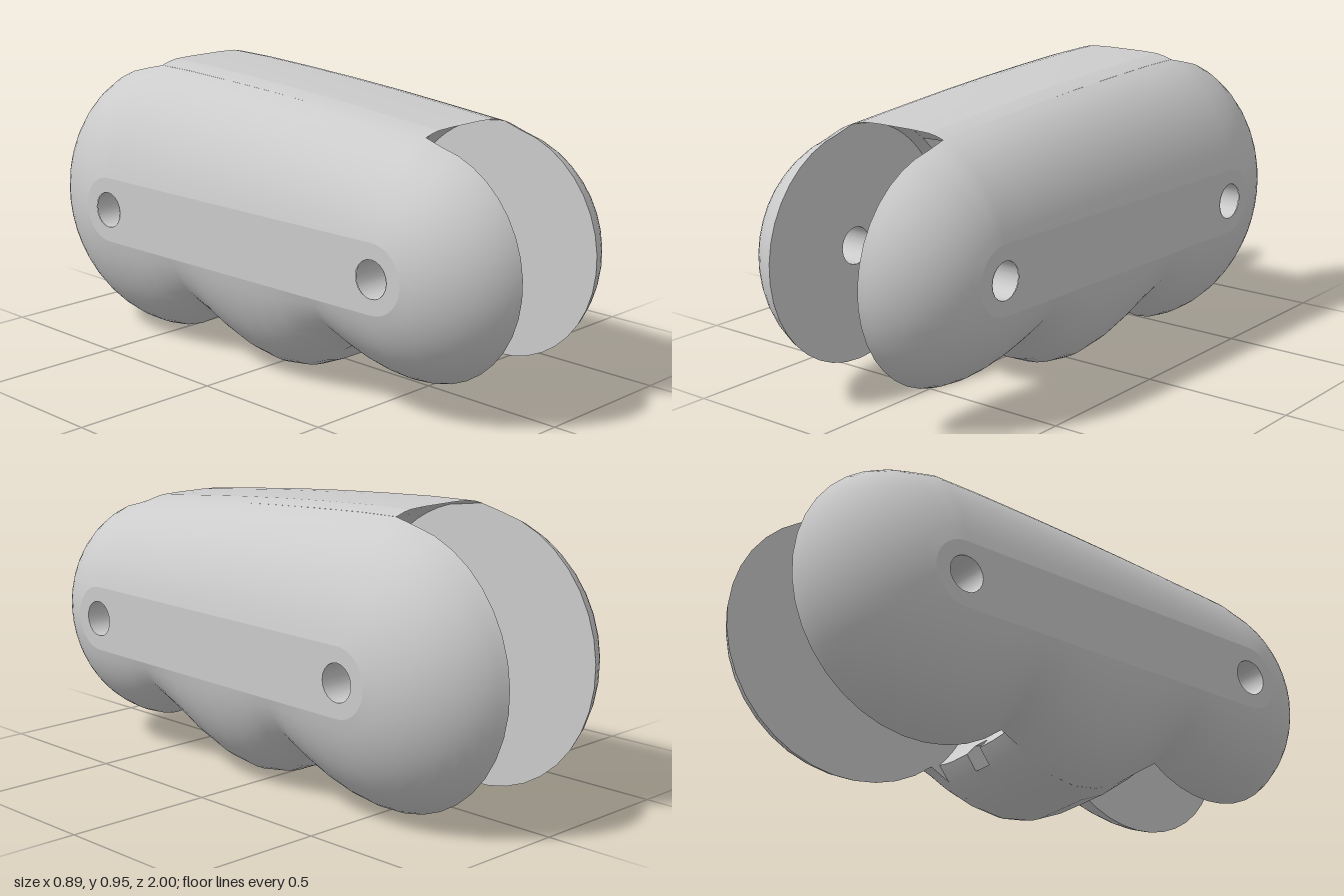
import * as THREE from 'three';
import { toCreasedNormals } from 'three/addons/utils/BufferGeometryUtils.js';

const material = new THREE.MeshStandardMaterial({ color: 0xcccccc });
const openMaterial = new THREE.MeshStandardMaterial({ color: 0xcccccc, side: THREE.DoubleSide });

// Profiles are drawn in the (z, y) plane. The two hinge pins share one height.
const PIN_Y = 0.47, FRONT = 0.63, BACK = -0.55, PIN_R = 0.06;
const CLEAR_F = 0.4, CLEAR_B = 0.48;
const INNER = 0.195;
const taper = z => 0.97 - 0.058 * z;
const crown = x => Math.sqrt(1 - (Math.max(0, Math.abs(x) - 0.1) / 0.355) ** 2);
const pt = (z, y) => new THREE.Vector2(z, y);
const pts = list => list.map(([z, y]) => pt(z, y));

function arc(cz, r, a0, a1, n) {
  return Array.from({ length: n + 1 }, (_, i) => {
    const a = THREE.MathUtils.degToRad(a0 + (a1 - a0) * i / n);
    return pt(cz + r * Math.cos(a), PIN_Y + r * Math.sin(a));
  });
}
const angleAt = (y, r) => THREE.MathUtils.radToDeg(Math.asin((y - PIN_Y) / r));
const frontWall = (y0, y1, n = 6) =>
  arc(FRONT, CLEAR_F, 180 - angleAt(y0, CLEAR_F), 180 - angleAt(y1, CLEAR_F), n);
const backWall = (y0, y1, n = 6) =>
  arc(BACK, CLEAR_B, angleAt(y0, CLEAR_B), angleAt(y1, CLEAR_B), n);

const topLine = pts([[0.63, 0.87], [0.4, 0.892], [0.2, 0.91], [0, 0.925], [-0.2, 0.937], [-0.4, 0.947], [-0.55, 0.95]]);
const lobe = pts([[-0.17, 0.085], [-0.12, 0.05], [-0.04, 0.015], [0.05, 0], [0.14, 0.013], [0.23, 0.052], [0.31, 0.11]]);
const outline = [
  ...arc(FRONT, 0.385, 232, 440, 22), ...topLine,
  ...arc(BACK, 0.468, 100, 312, 22), ...lobe,
];

function flip(geo) {
  const a = geo.index.array;
  for (let i = 0; i < a.length; i += 3) [a[i], a[i + 1]] = [a[i + 1], a[i]];
  geo.computeVertexNormals();
  return geo;
}

function mesh(name, geo, mat = material) {
  const m = new THREE.Mesh(geo, mat);
  m.name = name;
  return m;
}

// Slab of the middle body between x0 and x1, crowned and tapered like the sides
function slab(name, points, x0, x1, steps) {
  const geo = new THREE.ExtrudeGeometry(new THREE.Shape(points), { depth: x1 - x0, steps, bevelEnabled: false });
  const p = geo.attributes.position;
  for (let i = 0; i < p.count; i++) {
    const z = p.getX(i), y = p.getY(i), x = -(p.getZ(i) - x1);
    p.setXYZ(i, x * taper(z), PIN_Y + (y - PIN_Y) * crown(x), z);
  }
  return mesh(name, toCreasedNormals(geo, 0.6));
}

// Flat plate in the (z, y) plane with both pin holes, facing -x
function plate(points, x) {
  const shape = new THREE.Shape(points);
  for (const c of [FRONT, BACK]) shape.holes.push(new THREE.Path().absarc(c, PIN_Y, PIN_R, 0, Math.PI * 2, true));
  const geo = new THREE.ShapeGeometry(shape, 10);
  const p = geo.attributes.position;
  for (let i = 0; i < p.count; i++) {
    const z = p.getX(i);
    p.setXYZ(i, x * taper(z), p.getY(i), z);
  }
  geo.computeVertexNormals();
  return geo;
}

// One rounded cheek with a domed outer skin and two pin holes
function cheek(side) {
  const group = new THREE.Group();
  group.name = side > 0 ? 'leftCheek' : 'rightCheek';
  const n = outline.length, RINGS = 12, K_END = 0.25, CORE = 0.11;
  const a0 = Math.asin((INNER - 0.1) / 0.355), a1 = Math.acos(K_END);
  const rings = [], pos = [], idx = [];
  let lastX = 0;
  for (let i = 0; i <= RINGS; i++) {
    const a = a0 + (a1 - a0) * i / RINGS;
    const t = (Math.cos(a) - K_END) / (1 - K_END);
    lastX = 0.1 + 0.355 * Math.sin(a);
    const ring = outline.map(p => {
      const c = pt(THREE.MathUtils.clamp(p.x, BACK, FRONT), PIN_Y);
      const core = p.clone().sub(c).setLength(CORE).add(c);
      return core.lerp(p, t);
    });
    rings.push(ring);
    for (const p of ring) pos.push(lastX * taper(p.x), p.y, p.x);
  }
  for (let i = 0; i < RINGS; i++) {
    for (let j = 0; j < n; j++) {
      const a = i * n + j, b = i * n + (j + 1) % n;
      idx.push(a, a + n, b, b, a + n, b + n);
    }
  }
  const skin = new THREE.BufferGeometry();
  skin.setAttribute('position', new THREE.Float32BufferAttribute(pos, 3));
  skin.setIndex(idx);
  skin.computeVertexNormals();

  const parts = {
    outerSkin: skin,
    outerFace: flip(plate(rings[RINGS], lastX)),
    innerFace: plate(rings[0], INNER),
  };
  for (const [name, geo] of Object.entries(parts)) {
    if (side < 0) flip(geo.scale(-1, 1, 1));
    group.add(mesh(name, geo));
  }
  // Pin hole walls
  for (const z of [FRONT, BACK]) {
    const length = (lastX - INNER) * taper(z);
    const hole = new THREE.CylinderGeometry(PIN_R, PIN_R, length, 20, 1, true).rotateZ(Math.PI / 2);
    hole.translate(side * (lastX + INNER) / 2 * taper(z), PIN_Y, z);
    group.add(mesh('pinHole', hole, openMaterial));
  }
  return group;
}

export function createModel() {
  const model = new THREE.Group();
  model.name = 'hingedLink';
  model.add(cheek(1), cheek(-1));

  // Top bridge, with a flat arched channel through its middle
  const SLOT = 0.135, CEILING = 0.6;
  const topProfile = [...topLine, ...backWall(0.93, CEILING, 10), ...frontWall(CEILING, 0.86, 10)];
  model.add(slab('topBridgeSide', topProfile, SLOT, INNER, 2));
  model.add(slab('topBridgeSide', topProfile, -INNER, -SLOT, 2));
  model.add(slab('topBridgeUpper',
    [...topLine, ...backWall(0.93, 0.775), pt(0.08, 0.85), ...frontWall(0.775, 0.86)], -SLOT, SLOT, 4));
  model.add(slab('topBridgeLower',
    [...backWall(0.72, CEILING), ...frontWall(CEILING, 0.72), pt(0.08, 0.795)], -SLOT, SLOT, 4));

  // Bottom bridge with its round lobe and a small channel through it
  const BORE = 0.036, FLOOR = 0.255;
  const bottomProfile = [...lobe, ...frontWall(0.165, FLOOR), ...backWall(FLOOR, 0.135)];
  model.add(slab('bottomBridgeSide', bottomProfile, BORE, INNER, 4));
  model.add(slab('bottomBridgeSide', bottomProfile, -INNER, -BORE, 4));
  model.add(slab('bottomBridgeUpper',
    [...frontWall(0.185, FLOOR), ...backWall(FLOOR, 0.17), pt(0.05, 0.23)], -BORE, BORE, 1));
  model.add(slab('bottomBridgeLower', [...lobe, pt(0.05, 0.165)], -BORE, BORE, 1));
  return model;
}
